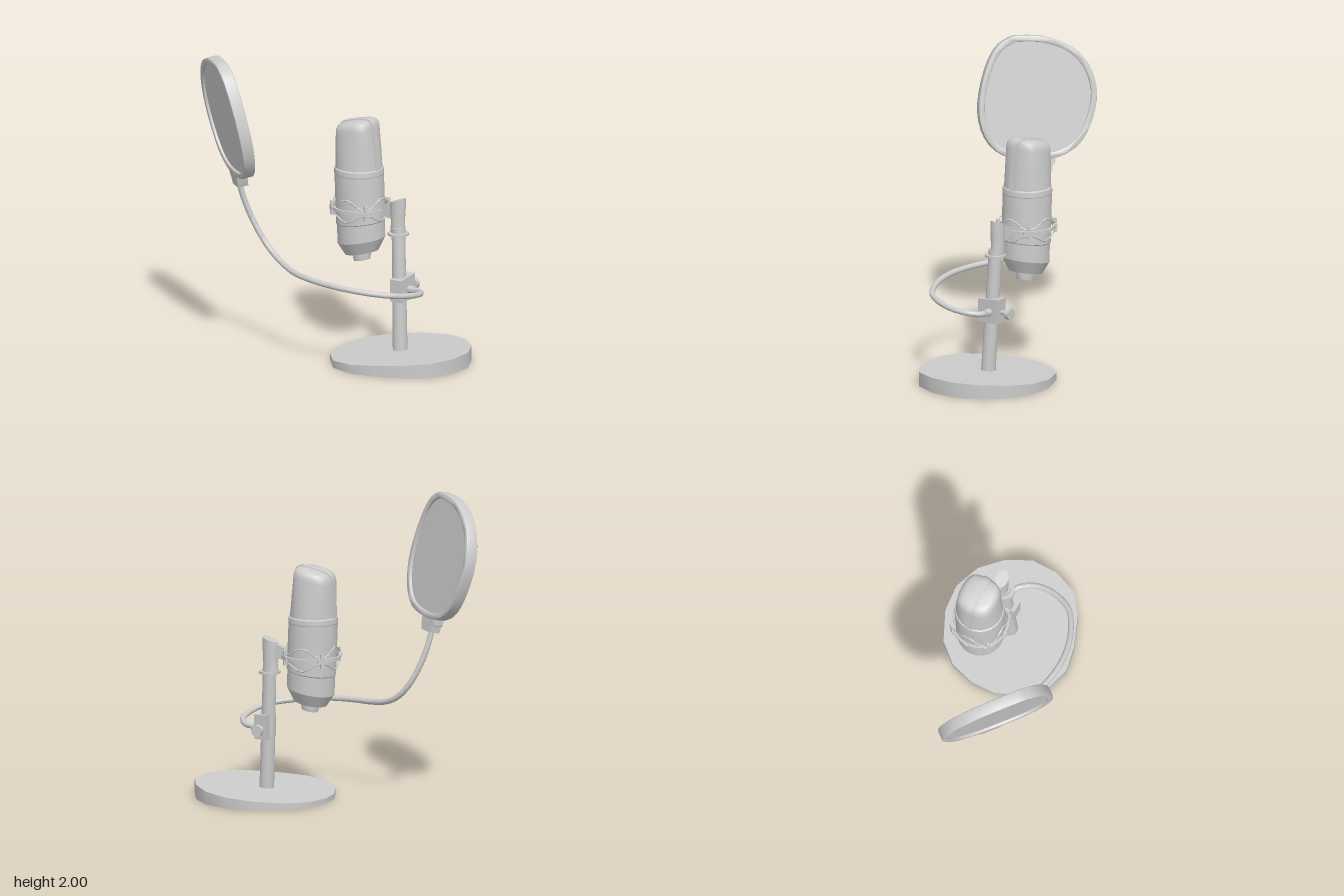
import * as THREE from 'three';
import { toCreasedNormals } from 'three/addons/utils/BufferGeometryUtils.js';

const V = (x, y, z) => new THREE.Vector3(x, y, z);
const smooth = THREE.MathUtils.smoothstep;

export function createModel() {
  const model = new THREE.Group();
  const grey = new THREE.MeshStandardMaterial({ color: 0xcccccc });
  const thin = new THREE.MeshStandardMaterial({ color: 0xcccccc, side: THREE.DoubleSide });

  function add(name, geometry, parent = model, crease = 0.6, material = grey) {
    const mesh = new THREE.Mesh(toCreasedNormals(geometry, crease), material);
    mesh.name = name;
    parent.add(mesh);
    return mesh;
  }

  // Straight rod between two points
  function rod(name, a, b, r0, r1 = r0, sides = 20) {
    const mesh = add(name, new THREE.CylinderGeometry(r1, r0, a.distanceTo(b), sides));
    mesh.position.copy(a).add(b).multiplyScalar(0.5);
    mesh.quaternion.setFromUnitVectors(V(0, 1, 0), b.clone().sub(a).normalize());
    return mesh;
  }

  // Move every vertex by a rule
  function warp(geometry, rule) {
    const p = geometry.attributes.position;
    const v = V(0, 0, 0);
    for (let i = 0; i < p.count; i++) {
      v.fromBufferAttribute(p, i);
      rule(v);
      p.setXYZ(i, v.x, v.y, v.z);
    }
    return geometry;
  }

  const shapeOf = (pts) => new THREE.Shape(pts.map(([x, y]) => new THREE.Vector2(x, y)));

  // Base: hollow wedge made of a sloping top plate and a thin rim
  const outline = [
    [0.54, 0.595], [0.71, 0.53], [0.84, 0.4], [0.922, 0.24], [0.922, 0.06], [0.86, -0.1],
    [0.73, -0.2], [0.53, -0.28], [0.37, -0.31], [0.2, -0.26], [0.08, -0.12], [0.02, 0.03],
    [0.012, 0.19], [0.06, 0.36], [0.17, 0.49], [0.36, 0.58],
  ];
  const slopeAt = (x) => 0.035 + 0.0715 * (x - 0.01);
  const basePart = (name, hole, bottomAt) => {
    const shape = shapeOf(outline);
    shape.holes.push(hole);
    const geo = new THREE.ExtrudeGeometry(shape, { depth: 0.1, bevelEnabled: false, curveSegments: 8 });
    add(name, warp(geo.rotateX(-Math.PI / 2), (v) => {
      v.y = v.y > 0.05 ? slopeAt(v.x) : bottomAt(v.x);
    }));
  };
  basePart('baseTop', new THREE.Path().absarc(0.449, 0.147, 0.042, 0, Math.PI * 2, false), (x) => slopeAt(x) - 0.008);
  const rimHole = outline.map(([x, y]) => new THREE.Vector2(0.47 + (x - 0.47) * 0.985, 0.145 + (y - 0.145) * 0.985));
  basePart('baseRim', new THREE.Path(rimHole.reverse()), () => 0);

  // Pole, collar and swivel head
  rod('pole', V(0.45, 0.064, -0.146), V(0.415, 0.88, -0.177), 0.048, 0.044);
  const collar = rod('poleCollar', V(0.415, 0.832, -0.177), V(0.415, 0.848, -0.177), 0.072, 0.072, 12);
  collar.scale.x = 0.95;
  const swivel = new THREE.CylinderGeometry(0.055, 0.055, 0.22, 20, 4);
  add('swivelHead', warp(swivel, (v) => {
    const waist = 1 - 0.18 * (1 - smooth(Math.abs(v.y + 0.03), 0, 0.07));
    v.set(0.405 + v.x * waist, 0.952 + v.y + (v.y > 0.1 ? v.x * 0.35 : 0), -0.187 + v.z * 0.78);
  }));

  // Arm from the swivel to the shock mount
  const arm = shapeOf([[0.285, 0.96], [0.3, 0.945], [0.37, 0.93], [0.38, 1.05], [0.35, 1.035], [0.3, 1.015], [0.29, 0.99]]);
  const armGeo = new THREE.ExtrudeGeometry(arm, { depth: 0.045, bevelEnabled: false });
  add('mountArm', armGeo.translate(0, 0, -0.21));

  // Microphone: turned profile, slightly tilted, with slanted ends and a squarish head
  const bend = (v) => {
    const slant = 0.19 * (1 - smooth(v.y, 0.75, 1.1)) + 0.2 * smooth(v.y, 1.25, 1.5);
    const { x, y, z } = v;
    v.set(x + 0.105 - 0.04 * (y - 1.1), y + x * slant, z - 0.185);
  };
  const squareHead = (v) => {
    const r = Math.hypot(v.x, v.z);
    if (r < 1e-5) return;
    const q = Math.pow((v.x / r) ** 4 + (v.z / r) ** 4, -0.25);
    const f = 1 + 0.6 * (q - 1) * smooth(v.y, 1.25, 1.5);
    v.x *= f;
    v.z *= f;
  };
  const mic = new THREE.Group();
  mic.name = 'microphone';
  model.add(mic);
  const turned = (name, pts, crease) => add(name, warp(
    new THREE.LatheGeometry(pts.map(([x, y]) => new THREE.Vector2(x, y)), 40),
    (v) => { squareHead(v); bend(v); }), mic, crease);
  turned('microphoneBody', [[0, 0.665], [0.11, 0.668], [0.155, 0.75], [0.156, 0.87], [0.161, 0.876],
    [0.161, 0.97], [0.161, 1.1], [0.161, 1.2], [0.163, 1.205], [0.161, 1.238], [0.152, 1.245], [0, 1.245]], 0.35);
  turned('bottomPlug', [[0, 0.615], [0.054, 0.615], [0.058, 0.64], [0.058, 0.68]], 0.6);
  const head = [[0.153, 1.24], [0.142, 1.37], [0.13, 1.49], [0.127, 1.515], [0.117, 1.537], [0.098, 1.551], [0.07, 1.557]];
  turned('microphoneHead', [...head, [0, 1.56]], 0.6);

  // Raised strip running up both sides and over the head
  const side = head.map(([r, y]) => [r + 0.004, y + (y > 1.5 ? 0.005 : 0)]);
  const strip = shapeOf([...side, ...side.map(([x, y]) => [-x, y]).reverse()]);
  const stripGeo = new THREE.ExtrudeGeometry(strip, { depth: 0.05, bevelEnabled: false });
  add('headStrip', warp(stripGeo.translate(0, 0, -0.025), bend), mic);

  // Shock mount: hoop, four cross clips and wavy elastic cords
  const mount = new THREE.Group();
  mount.name = 'shockMount';
  mount.position.set(0.11, 0.975, -0.185);
  model.add(mount);
  const hoop = new THREE.LatheGeometry([[0.176, -0.011], [0.19, -0.011], [0.19, 0.011], [0.176, 0.011], [0.176, -0.011]]
    .map(([x, y]) => new THREE.Vector2(x, y)), 40);
  add('mountHoop', hoop, mount);
  for (let i = 0; i < 4; i++) {
    const clip = new THREE.Group();
    clip.name = 'crossClip';
    clip.rotation.y = Math.PI / 4 + i * Math.PI / 2;
    mount.add(clip);
    add('clipUpright', new THREE.BoxGeometry(0.022, 0.095, 0.024), clip).position.z = 0.186;
    add('clipBar', new THREE.BoxGeometry(0.07, 0.026, 0.024), clip).position.z = 0.186;
    // Small peg between the clips
    const peg = add('hoopPeg', new THREE.BoxGeometry(0.03, 0.026, 0.016), mount);
    peg.position.set(0.187 * Math.sin(i * Math.PI / 2), 0, 0.187 * Math.cos(i * Math.PI / 2));
    peg.rotation.y = i * Math.PI / 2;
  }
  for (const s of [1, -1]) {
    const pts = [];
    for (let i = 0; i < 48; i++) {
      const a = i / 48 * Math.PI * 2;
      const wave = 0.5 + 0.5 * Math.cos(4 * a);
      const r = 0.184 - 0.021 * wave;
      pts.push(V(r * Math.sin(a), s * (0.02 + 0.055 * wave), r * Math.cos(a)));
    }
    add('elasticCord', new THREE.TubeGeometry(new THREE.CatmullRomCurve3(pts, true), 96, 0.005, 6, true), mount, 1.2);
  }

  // Clamp block on the pole with its thumbscrew
  const block = new THREE.BoxGeometry(0.085, 0.15, 0.165);
  add('clampBlock', warp(block, (v) => {
    const back = v.z < 0;
    if (back) v.y += v.y > 0 ? 0.018 : 0.002;
    if (back && v.y < 0) v.z += 0.015;
    v.add(V(0.449, 0.473, -0.177));
  }));
  rod('screwStem', V(0.44, 0.473, -0.24), V(0.44, 0.473, -0.305), 0.016);
  rod('screwKnob', V(0.44, 0.473, -0.3), V(0.44, 0.473, -0.333), 0.038);
  rod('gooseneckSocket', V(0.47, 0.473, -0.187), V(0.54, 0.473, -0.187), 0.025);

  // Gooseneck
  const neck = new THREE.CatmullRomCurve3([
    V(0.49, 0.473, -0.187), V(0.58, 0.475, -0.175), V(0.645, 0.49, -0.09), V(0.66, 0.51, 0.04),
    V(0.6, 0.54, 0.2), V(0.47, 0.56, 0.29), V(0.33, 0.575, 0.335), V(0.2, 0.585, 0.345),
    V(0.05, 0.592, 0.325), V(-0.1, 0.6, 0.275), V(-0.22, 0.62, 0.215), V(-0.32, 0.66, 0.175),
    V(-0.4, 0.73, 0.165), V(-0.475, 0.85, 0.18), V(-0.53, 1.0, 0.21), V(-0.56, 1.14, 0.24),
  ]);
  add('gooseneck', new THREE.TubeGeometry(neck, 120, 0.019, 12), model, 1.2, thin);

  // Pop filter: egg-shaped frame, mesh screen and bottom bracket
  const filter = new THREE.Group();
  filter.name = 'popFilter';
  const a = 0.775, b = 0.632, s = 0.2, c = 0.98;
  filter.matrix.makeBasis(V(a, 0, b), V(-b * s, c, a * s), V(-b * c, -s, a * c)).setPosition(-0.6, 1.59, 0.315);
  filter.matrix.decompose(filter.position, filter.quaternion, filter.scale);
  model.add(filter);
  const egg = new THREE.SplineCurve([
    [0.15, 0.412], [0.24, 0.365], [0.31, 0.27], [0.37, 0.1], [0.395, -0.08], [0.355, -0.25], [0.24, -0.365], [0.05, -0.4],
    [-0.12, -0.39], [-0.265, -0.31], [-0.355, -0.15], [-0.39, 0.03], [-0.345, 0.2], [-0.235, 0.325], [-0.08, 0.392], [0.04, 0.41], [0.15, 0.412],
  ].map(([x, y]) => new THREE.Vector2(x, y))).getPoints(48).slice(0, -1);
  const inner = egg.map((p) => p.clone().multiplyScalar(0.92));
  const frame = new THREE.Shape(egg.map((p) => p.clone().multiplyScalar(0.985)));
  frame.holes.push(new THREE.Path([...inner].reverse()));
  const frameGeo = new THREE.ExtrudeGeometry(frame, { depth: 0.06, bevelThickness: 0.01, bevelSize: 0.007, bevelSegments: 2 });
  add('filterFrame', frameGeo.translate(0, 0, -0.03), filter, 0.7);
  const screenGeo = new THREE.ExtrudeGeometry(new THREE.Shape(inner), { depth: 0.044, bevelEnabled: false });
  add('filterScreen', screenGeo.translate(0, 0, -0.022), filter);
  const bracket = shapeOf([[-0.1, -0.37], [-0.095, -0.435], [-0.08, -0.44], [-0.072, -0.485], [0.05, -0.485], [0.068, -0.435], [0.08, -0.37]]);
  const bracketGeo = new THREE.ExtrudeGeometry(bracket, { depth: 0.07, bevelEnabled: false });
  add('filterBracket', bracketGeo.translate(0, 0, -0.035), filter);

  return model;
}
